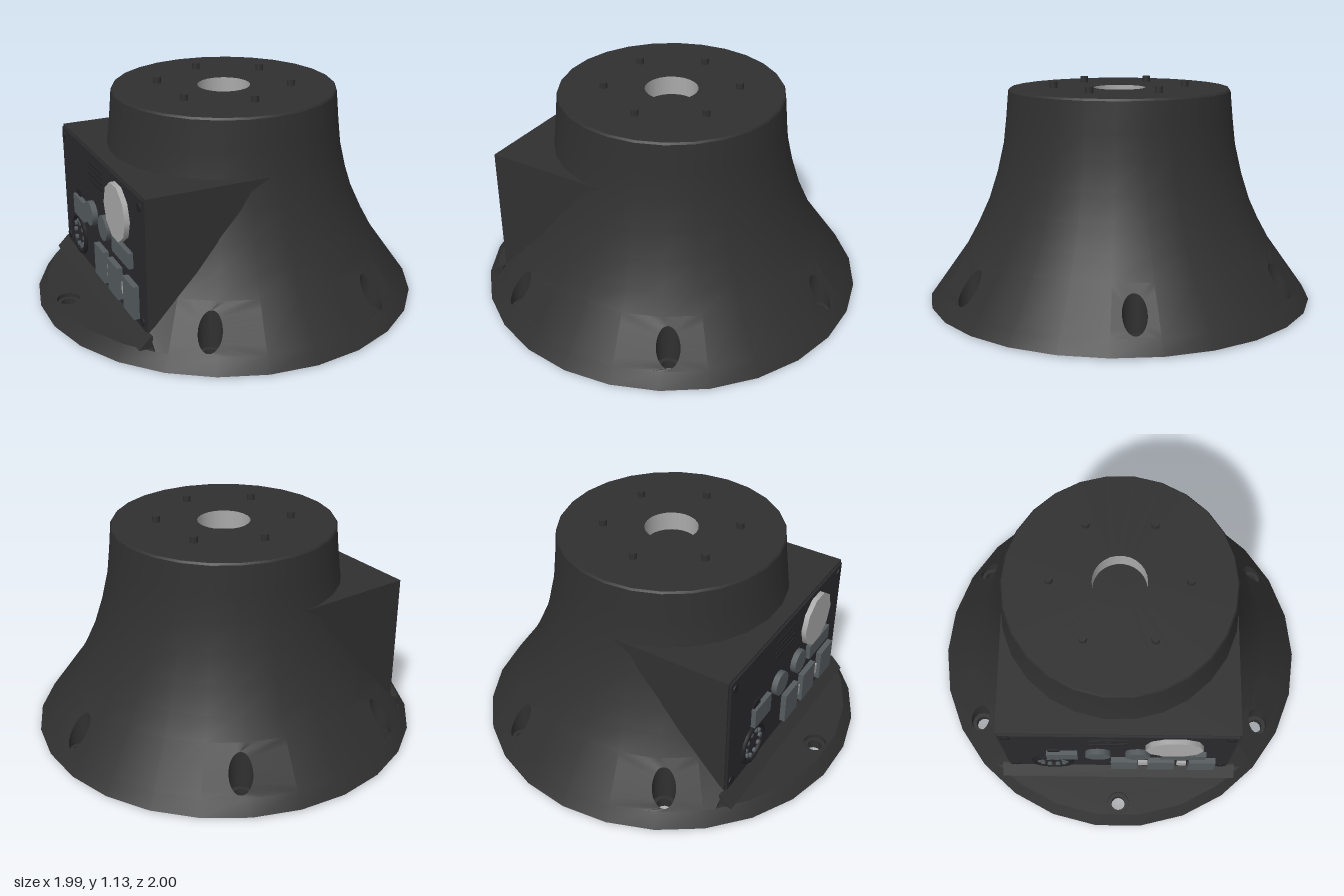
import * as THREE from 'three';
import { toCreasedNormals } from 'three/addons/utils/BufferGeometryUtils.js';

const SIDES = 26, STEP = 2 * Math.PI / SIDES;
const HOLE_R = 0.88, BORE = 0.058, DRILL = 0.037, SEAT = 0.06, LEDGE = 0.08;
const PANEL_X = -0.68;
const V = (x, y, z) => new THREE.Vector3(x, y, z);
const mat = (color) => new THREE.MeshStandardMaterial({ color, side: THREE.DoubleSide });
const shell = mat(0x303030), dark = mat(0x222225), panelGrey = mat(0x2a2a2d),
  socketGrey = mat(0x555b5e), light = mat(0xaaaaaa);

function add(parent, name, geo, material, x = 0, y = 0, z = 0) {
  const m = new THREE.Mesh(geo, material);
  m.name = name;
  m.position.set(x, y, z);
  parent.add(m);
  return m;
}

// Point on the many-sided flared body, angle measured from +z towards +x
const facet = (t) => {
  const a = ((t % STEP) + STEP) % STEP;
  return Math.cos(STEP / 2) / Math.cos(a - STEP / 2);
};
const onBody = (t, r, y) => V(r * facet(t) * Math.sin(t), y, r * facet(t) * Math.cos(t));
const skirtY = (r) => LEDGE + (0.95 - r) * 1.4;

// Collects quads and returns a geometry with creased normals
function quadSoup() {
  const pos = [];
  return {
    quad(a, b, c, d) { for (const p of [a, b, c, a, c, d]) pos.push(p.x, p.y, p.z); },
    build(crease) {
      const g = new THREE.BufferGeometry();
      g.setAttribute('position', new THREE.Float32BufferAttribute(pos, 3));
      return toCreasedNormals(g, crease);
    },
  };
}

function bodyGeometry(holeAngles) {
  const soup = quadSoup();
  const rings = [[0.96, 0.03], [0.96, 0.01], [1, 0.01], [0.95, LEDGE], [0.8, 0.29], [0.74, 0.4], [0.68, 0.53],
    [0.635, 0.67], [0.6, 0.82], [0.585, 0.95], [0.572, 1.09], [0.565, 1.1], [0.135, 1.1]];
  const point = (i, j) => {
    const p = onBody(i * STEP, ...rings[j]);
    if (j > 3) p.x = Math.max(p.x, -0.67); // stays behind the connector panel
    return p;
  };
  const spans = holeAngles.map((t) => [Math.floor(t / STEP - 0.3), Math.ceil(t / STEP + 0.3), t]);
  const BAND = 3, CUT0 = 16, CUT1 = 23;
  for (let j = 0; j < rings.length - 1; j++) {
    for (let i = 0; i < SIDES; i++) {
      const open = (i >= CUT0 && i < CUT1) || spans.some(([a, b]) => i >= a && i < b);
      if (j === BAND && open) continue;
      soup.quad(point(i, j), point(i + 1, j), point(i + 1, j + 1), point(i, j + 1));
    }
  }
  // Skirt ends beside the cut-away ledge
  for (const [i, s] of [[CUT0, -1], [CUT1, 1]]) {
    soup.quad(point(i, BAND), V(-0.675, LEDGE, s * 0.6685), V(-0.675, 0.29, s * 0.43), point(i, BAND + 1));
  }
  // Skirt patches, each with a round bolt recess
  const N = 32;
  for (const [a, b, t] of spans) {
    if (a >= CUT0 && b <= CUT1) continue;
    const outer = [], inner = [];
    for (let k = 0; k <= N; k++) {
      const f = k / N * 2 * Math.PI, c = Math.cos(f), s = Math.sin(f);
      const q = Math.max(Math.abs(c), Math.abs(s));
      const r = 0.875 - 0.075 * s / q;
      outer.push(onBody(((a + b) / 2 + (b - a) / 2 * c / q) * STEP, r, skirtY(r)));
      const x = HOLE_R * Math.sin(t) + BORE * (c * Math.cos(t) - s * Math.sin(t));
      const z = HOLE_R * Math.cos(t) - BORE * (c * Math.sin(t) + s * Math.cos(t));
      inner.push(V(x, skirtY(Math.hypot(x, z) / facet(Math.atan2(x, z))), z));
    }
    for (let k = 0; k < N; k++) {
      soup.quad(outer[k], outer[k + 1], inner[k + 1], inner[k]);
      const [p, n] = [inner[k], inner[k + 1]];
      soup.quad(p, n, V(n.x, SEAT, n.z), V(p.x, SEAT, p.z));
    }
  }
  return soup.build(0.5);
}

const circlePath = (x, y, r) => new THREE.Path().absarc(x, y, r, 0, 2 * Math.PI, true);

export function createModel() {
  const model = new THREE.Group();
  model.name = 'flaredPedestal';
  const holeAngles = [0, 1, 2, 3, 4, 5].map((k) => Math.PI / 6 + k * Math.PI / 3);
  add(model, 'flaredBody', bodyGeometry(holeAngles), shell);

  // Flat ledge below the connector panel
  const pts = [new THREE.Vector2(-0.675, -0.6685)];
  for (let i = 22; i >= 17; i--) {
    const p = onBody(i * STEP, 0.95, 0);
    pts.push(new THREE.Vector2(p.x, -p.z));
  }
  pts.push(new THREE.Vector2(-0.675, 0.6685));
  const ledge = new THREE.Shape(pts);
  ledge.holes.push(circlePath(-HOLE_R, 0, BORE));
  add(model, 'ledge', new THREE.ShapeGeometry(ledge, 16).rotateX(-Math.PI / 2), shell, 0, LEDGE, 0);
  const wedge = new THREE.Shape([[-0.74, LEDGE], [-0.67, LEDGE], [-0.67, 0.14], [-0.68, 0.14]]
    .map((p) => new THREE.Vector2(...p)));
  add(model, 'ledgeFillet', new THREE.ExtrudeGeometry(wedge, { depth: 1.26, bevelEnabled: false }), shell, 0, 0, -0.63);

  // Bottom plate, bolt seats and plate screws
  const plate = new THREE.Shape().absarc(0, 0, 0.962, 0, 2 * Math.PI);
  for (const t of holeAngles) {
    const x = HOLE_R * Math.sin(t), z = HOLE_R * Math.cos(t);
    plate.holes.push(circlePath(x, z, DRILL));
    const seat = [[BORE, LEDGE], [BORE, SEAT], [DRILL, SEAT], [DRILL, 0.01], [0.06, 0.01], [0.06, 0.03]]
      .map((p) => new THREE.Vector2(...p));
    add(model, 'boltSeat', toCreasedNormals(new THREE.LatheGeometry(seat, 12), 0.6), shell, x, 0, z);
  }
  add(model, 'bottomPlate', new THREE.ShapeGeometry(plate, 26).rotateX(Math.PI / 2), dark, 0, 0.025, 0);
  for (const deg of [0, 60, 180, 240]) {
    const t = deg * Math.PI / 180, x = 0.875 * Math.sin(t), z = 0.875 * Math.cos(t);
    add(model, 'plateScrewRing', new THREE.TorusGeometry(0.04, 0.01, 4, 12).rotateX(Math.PI / 2), shell, x, 0.022, z);
    add(model, 'plateScrew', new THREE.CylinderGeometry(0.025, 0.025, 0.02, 8), dark, x, 0.017, z);
  }
  add(model, 'locatingStud', new THREE.CylinderGeometry(0.015, 0.015, 0.03, 8), dark, 0, 0.015, -0.75);

  // Top face: central bore and locating pins
  add(model, 'boreWall', new THREE.CylinderGeometry(0.135, 0.135, 0.1, 26, 1, true), light, 0, 1.049, 0);
  add(model, 'boreFloor', new THREE.CircleGeometry(0.135, 26).rotateX(-Math.PI / 2), shell, 0, 1, 0);
  for (let k = 0; k < 6; k++) {
    const t = k * Math.PI / 3;
    add(model, 'topPin', new THREE.CylinderGeometry(0.02, 0.02, 0.04, 10), shell,
      0.34 * Math.sin(t), 1.112, 0.34 * Math.cos(t));
  }

  // Connector housing on the right side
  add(model, 'connectorHousing', new THREE.BoxGeometry(0.675, 0.76, 1.194), shell, -0.3375, 0.43, 0);
  const panel = new THREE.Group();
  panel.name = 'connectorPanel';
  panel.position.x = PANEL_X;
  model.add(panel);
  add(panel, 'panelPlate', new THREE.BoxGeometry(0.012, 0.66, 1.17), panelGrey, 0, 0.47, 0);

  const block = (name, y, z, h, w, d = 0.03, m = socketGrey) =>
    add(panel, name, new THREE.BoxGeometry(d, h, w), m, -d / 2, y, z);
  const disc = (name, y, z, r, sides, d = 0.03, m = socketGrey) =>
    add(panel, name, new THREE.CylinderGeometry(r, r, d, sides).rotateZ(Math.PI / 2), m, -d / 2, y, z);

  disc('powerSwitch', 0.635, 0.28, 0.145, 10, 0.032, light);
  for (const z of [0.03, 0.225, 0.44]) block('largeSocket', 0.26, z, 0.17, 0.14, 0.035);
  for (const z of [0.13, 0.335]) block('smallSocket', 0.25, z, 0.06, 0.05, 0.02, light);
  for (const z of [-0.105, 0.1]) disc('roundSocket', 0.48, z, 0.065, 12, 0.035);
  block('wideSocket', 0.45, 0.334, 0.08, 0.23);
  block('squareSocket', 0.44, -0.29, 0.11, 0.16);
  block('squareSocketTab', 0.51, -0.33, 0.04, 0.06, 0.015, dark);
  for (let k = 0; k < 4; k++) block('ventSlot', 0.655 + k * 0.03, -0.05, 0.01, 0.2, 0.012, dark);

  // Circular multi-pin connector
  add(panel, 'pinConnectorRing', new THREE.TorusGeometry(0.1, 0.014, 6, 20).rotateY(Math.PI / 2), dark, -0.01, 0.265, -0.347);
  for (let k = 0; k < 10; k++) {
    const t = k * Math.PI / 5;
    disc('connectorPin', 0.265 + 0.07 * Math.sin(t), -0.347 + 0.07 * Math.cos(t), 0.013, 6, 0.02);
  }
  for (const y of [0.18, 0.76]) for (const z of [-0.55, 0.55]) disc('panelScrew', y, z, 0.022, 8, 0.012, dark);
  return model;
}
